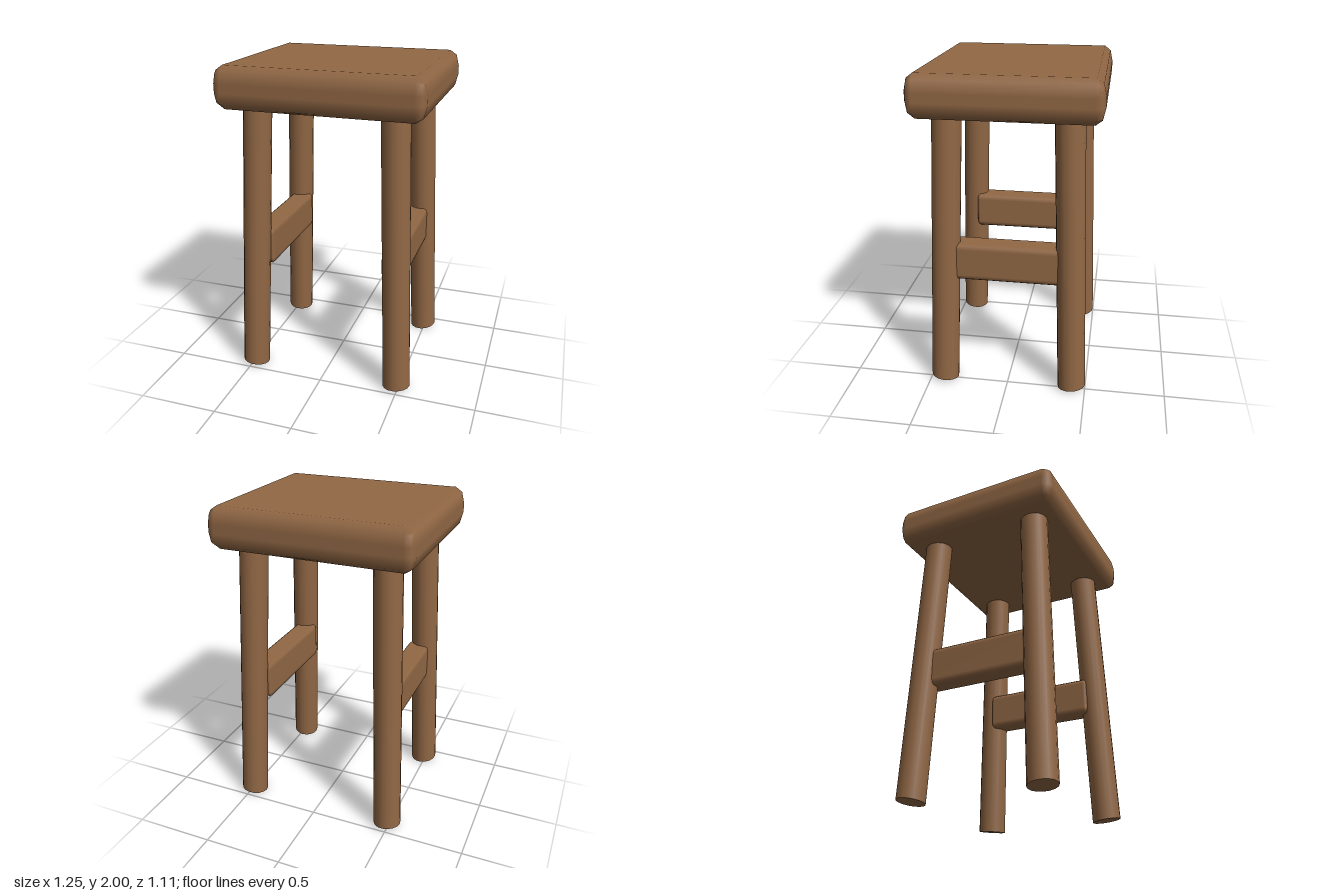
import * as THREE from 'three';
import { RoundedBoxGeometry } from 'three/addons/geometries/RoundedBoxGeometry.js';

const wood = new THREE.MeshStandardMaterial({ color: 0x926845 });
wood.name = 'brown wood';

// Box whose rounded edges have their own radius on each axis
function softBox(size, radii) {
  const geometry = new RoundedBoxGeometry(size[0] / radii[0], size[1] / radii[1], size[2] / radii[2], 1, 1);
  return geometry.scale(...radii);
}

// Splayed round leg: the axis leans outwards and the foot is cut on a slant
function legGeometry(sx, sz) {
  const height = 1.8, rx = 0.086, rz = 0.0875;
  const leanX = 0.0365, leanZ = 0.0335;
  const geometry = new THREE.CylinderGeometry(1, 1, height, 16);
  geometry.translate(0, height / 2, 0);
  return geometry.applyMatrix4(new THREE.Matrix4().set(
    rx, -sx * leanX, 0, sx * 0.486,
    sx * 0.0086, 1, sz * 0.0096, 0.013,
    0, -sz * leanZ, rz, sz * 0.4125,
    0, 0, 0, 1
  ));
}

export function createModel() {
  const model = new THREE.Group();
  model.name = 'stool';

  function add(name, geometry, x = 0, y = 0, z = 0) {
    const mesh = new THREE.Mesh(geometry, wood);
    mesh.name = name;
    mesh.position.set(x, y, z);
    model.add(mesh);
  }

  // Thick seat with soft edges
  add('seat', softBox([1.25, 0.255, 1.106], [0.06, 0.1, 0.054]), 0, 1.8725, 0);

  for (const sx of [1, -1]) {
    const side = sx > 0 ? 'left' : 'right';
    // Front and back legs
    for (const sz of [1, -1]) add(`${side}${sz > 0 ? 'Front' : 'Back'}Leg`, legGeometry(sx, sz));
    // Side rail joining the front and back legs
    add(`${side}Rail`, softBox([0.143, 0.238, 0.72], [0.02, 0.035, 0.02]), sx * 0.4255, 0.838, 0);
  }
  return model;
}
